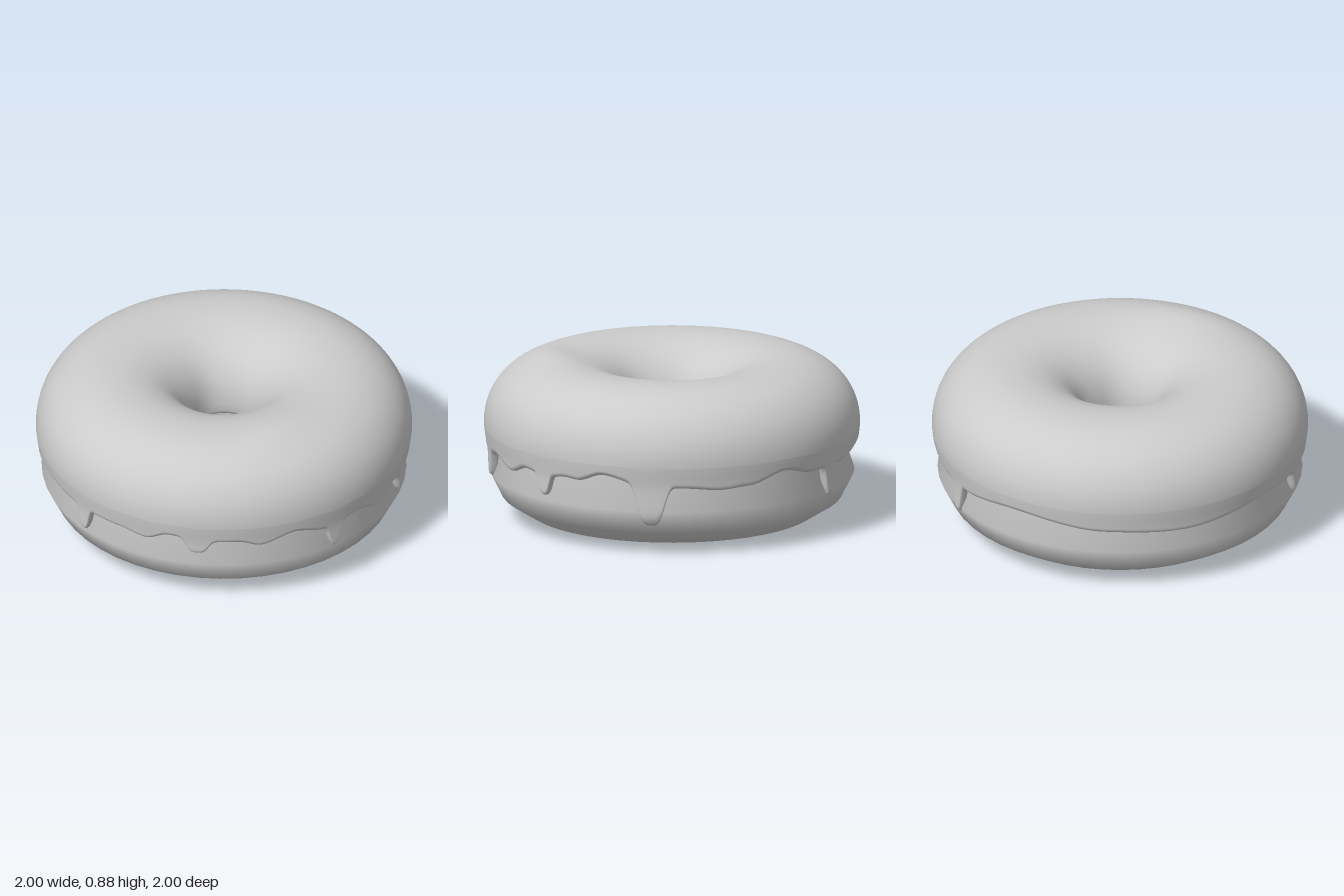
import * as THREE from 'three';

const material = new THREE.MeshStandardMaterial({ color: 0xcccccc });
const { smoothstep, lerp } = THREE.MathUtils;

// Icing edge: [degrees from the front, turning towards +x; height]
const EDGE = [
  [-93, 0.39], [-78, 0.39], [-69, 0.37], [-61, 0.42], [-45, 0.4], [-39, 0.4], [-32, 0.37], [-21, 0.42],
  [-10, 0.38], [3, 0.4], [13, 0.355], [22, 0.4], [30, 0.38], [39, 0.4], [43, 0.395], [52, 0.44], [64, 0.4],
  [78, 0.38], [90, 0.365], [99, 0.375], [112, 0.43], [124, 0.39], [138, 0.385], [160, 0.42],
  [190, 0.375], [215, 0.36], [250, 0.405], [267, 0.39],
];

// Drips: [degrees, height of the tip, half width in degrees]
const DRIPS = [
  [-93, 0.265, 2.4], [-52, 0.325, 4], [-6.5, 0.255, 2.4], [30, 0.28, 2.5],
  [67.5, 0.17, 4.8], [133, 0.23, 2.4],
];

function edgeHeight(deg) {
  const a = deg > 267 ? deg - 360 : deg;
  let i = 0;
  while (i < EDGE.length - 2 && a > EDGE[i + 1][0]) i++;
  const [a0, y0] = EDGE[i], [a1, y1] = EDGE[i + 1];
  let y = lerp(y0, y1, smoothstep(a, a0, a1));
  for (const [centre, tip, width] of DRIPS) {
    const d = ((a - centre + 540) % 360) - 180;
    y = lerp(y, tip, Math.exp(-Math.pow(Math.abs(d / width), 3.5)));
  }
  return y;
}

// Radius of the icing's outer wall below its widest line
function wallRadius(y) {
  return 0.985 + 0.015 * smoothstep(y, 0.36, 0.52) - 4 * Math.max(0, 0.25 - y) ** 2;
}

// Icing cross-section: up from the hole, over the top, down to the edge and under its lip
function icingSection(angle, deg) {
  const points = [];
  const hole = 0.44 + 0.012 * Math.sin(3 * angle + 1);
  const inner = 0.19 + 0.004 * Math.sin(5 * angle);
  points.push([0.27, 0.55], [0.232, hole + 0.01], [0.218, hole - 0.012], [inner + 0.01, hole - 0.01], [inner + 0.001, hole + 0.01]);
  const power = 2 / 2.15;
  for (let k = 0; k <= 36; k++) {
    const t = Math.PI * (1 - k / 36);
    const c = Math.cos(t), s = Math.max(0, Math.sin(t));
    const half = c < 0 ? 0.6 - inner : 0.4;
    const r = 0.6 + Math.sign(c) * half * Math.pow(Math.abs(c), power);
    let y = 0.5 + 0.364 * Math.pow(s, power);
    // Soft swelling on the front of the top
    const dx = r * Math.sin(angle) + 0.18, dz = r * Math.cos(angle) - 0.61;
    y += 0.021 * s * Math.exp(-((dx / 0.24) ** 2) - (dz / 0.12) ** 2);
    points.push([r, y]);
  }
  const edge = edgeHeight(deg);
  for (let k = 1; k <= 10; k++) {
    const y = lerp(0.5, edge + 0.02, k / 10);
    points.push([wallRadius(y), y]);
  }
  const lip = wallRadius(edge);
  for (let k = 1; k <= 6; k++) {
    const t = (k / 6) * Math.PI;
    points.push([lip - 0.021 + 0.021 * Math.cos(t), edge + 0.02 - 0.02 * Math.sin(t)]);
  }
  points.push([0.935, Math.max(edge + 0.08, 0.42)], [0.93, 0.6]);
  return points;
}

function icingGeometry() {
  const columns = 540, positions = [], index = [];
  let rows = 0;
  for (let i = 0; i < columns; i++) {
    const deg = (i / columns) * 360 - 93;
    const angle = THREE.MathUtils.degToRad(deg);
    const section = icingSection(angle, deg);
    rows = section.length;
    for (const [r, y] of section) positions.push(r * Math.sin(angle), y, r * Math.cos(angle));
  }
  for (let i = 0; i < columns; i++) {
    const next = (i + 1) % columns;
    for (let j = 0; j < rows - 1; j++) {
      const a = i * rows + j, b = next * rows + j;
      index.push(a, a + 1, b, b, a + 1, b + 1);
    }
  }
  const geometry = new THREE.BufferGeometry();
  geometry.setAttribute('position', new THREE.Float32BufferAttribute(positions, 3));
  geometry.setIndex(index);
  geometry.computeVertexNormals();
  return geometry;
}

export function createModel() {
  const model = new THREE.Group();
  model.name = 'donut';

  // Dough ring with a slight waist around its middle
  const profile = [
    [0.6, 0], [0.63, 0.003], [0.77, 0.035], [0.905, 0.12], [0.97, 0.25], [0.915, 0.41], [0.965, 0.57],
    [0.89, 0.71], [0.76, 0.79], [0.6, 0.82], [0.44, 0.79], [0.31, 0.71], [0.235, 0.57],
    [0.212, 0.42], [0.24, 0.25], [0.31, 0.12], [0.44, 0.035], [0.57, 0.003], [0.6, 0],
  ].map(([r, y]) => new THREE.Vector2(r, y));
  const dough = new THREE.Mesh(new THREE.LatheGeometry(profile, 48), material);
  dough.name = 'dough';

  // Icing with drips running down the side
  const icing = new THREE.Mesh(icingGeometry(), material);
  icing.name = 'icing';

  model.add(dough, icing);
  return model;
}
